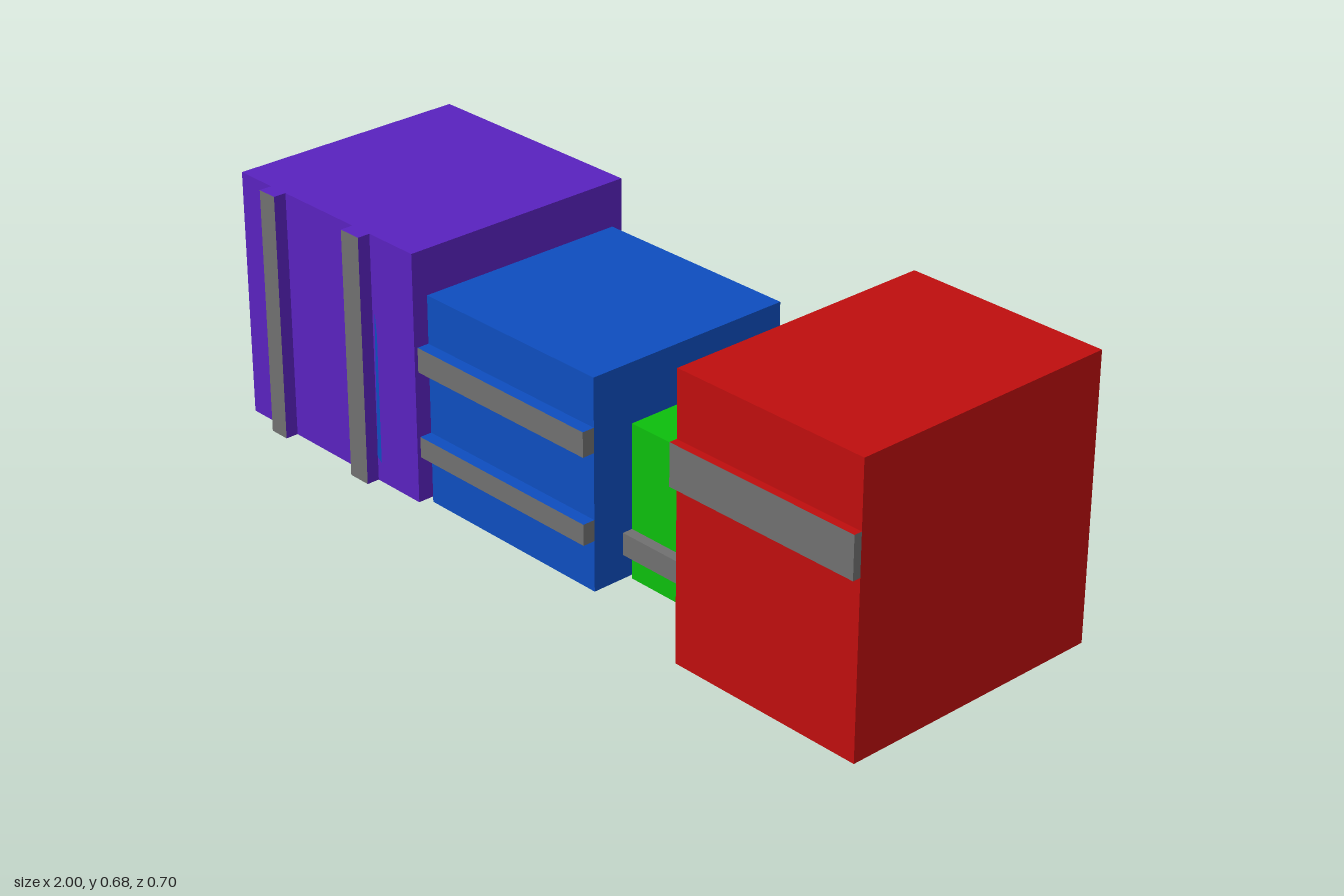
import * as THREE from 'three';

const paint = (name, color) => {
  const m = new THREE.MeshStandardMaterial({ color });
  m.name = name;
  return m;
};

export function createModel() {
  const purple = paint('purple', 0x5a23c0);
  const blue = paint('blue', 0x0e4ec0);
  const green = paint('green', 0x0dc00d);
  const red = paint('red', 0xc00e0e);
  const gray = paint('gray', 0x717171);

  // Box given by its lower and upper corners
  const block = (name, [x0, y0, z0], [x1, y1, z1], material) => {
    const geo = new THREE.BoxGeometry(x1 - x0, y1 - y0, z1 - z0);
    const mesh = new THREE.Mesh(geo, material);
    mesh.position.set((x0 + x1) / 2, (y0 + y1) / 2, (z0 + z1) / 2);
    mesh.name = name;
    return mesh;
  };

  // Each crate has raised bands on its front: [x0, x1, y0, y1]
  // Band face materials follow the box order: +x, -x, +y, -y, +z, -z
  const crates = [
    {
      name: 'purpleCrate', body: purple, min: [-1, 0.01, -0.32], max: [-0.39, 0.62, 0.293], front: 0.325,
      faces: [purple, purple, purple, purple, gray, purple],
      bands: [[-0.89, -0.837, 0.01, 0.62], [-0.595, -0.535, 0.01, 0.62]],
    },
    {
      name: 'blueCrate', body: blue, min: [-0.385, 0, -0.287], max: [0.158, 0.512, 0.257], front: 0.288,
      faces: [gray, gray, blue, blue, gray, blue],
      bands: [[-0.385, 0.158, 0.335, 0.395], [-0.385, 0.158, 0.124, 0.175]],
    },
    {
      name: 'greenCrate', body: green, min: [0.17, 0, -0.246], max: [0.476, 0.376, 0.16], front: 0.186,
      faces: [gray, gray, gray, gray, gray, green],
      bands: [[0.17, 0.476, 0.068, 0.122]],
    },
    {
      name: 'redCrate', body: red, min: [0.488, 0, -0.35], max: [1, 0.68, 0.33], front: 0.35,
      faces: [gray, gray, red, red, gray, red],
      bands: [[0.488, 1, 0.421, 0.522]],
    },
  ];

  const model = new THREE.Group();
  model.name = 'crateRow';
  for (const { name, body, min, max, front, faces, bands } of crates) {
    const crate = new THREE.Group();
    crate.name = name;
    crate.add(block('crateBody', min, max, body));
    bands.forEach(([x0, x1, y0, y1], i) => {
      crate.add(block(`band${i + 1}`, [x0, y0, max[2]], [x1, y1, front], faces));
    });
    model.add(crate);
  }

  // Narrow blue sliver painted beside the purple crate's inner band
  const sliver = new THREE.Shape([
    new THREE.Vector2(-0.533, 0.07), new THREE.Vector2(-0.519, 0.06),
    new THREE.Vector2(-0.519, 0.38), new THREE.Vector2(-0.525, 0.44),
  ]);
  const mark = new THREE.Mesh(new THREE.ShapeGeometry(sliver), blue);
  mark.position.z = 0.295;
  mark.name = 'paintedSliver';
  model.add(mark);

  return model;
}
